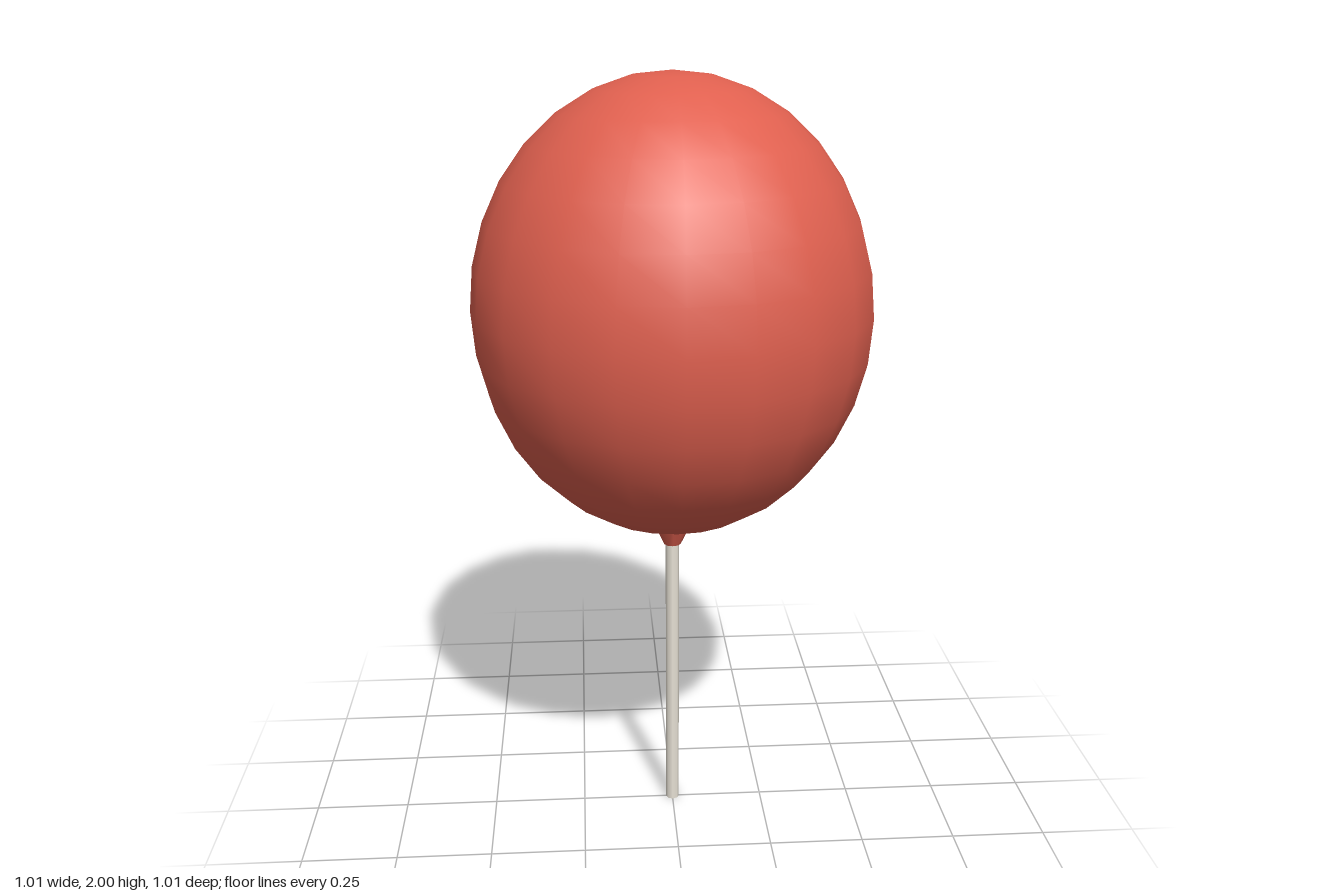
import * as THREE from 'three';

export function createModel() {
  const group = new THREE.Group();
  const red = new THREE.MeshStandardMaterial({ color: 0xe0604f });
  const cream = new THREE.MeshStandardMaterial({ color: 0xe8e2d6 });

  const add = (name, geometry, material, y) => {
    const mesh = new THREE.Mesh(geometry, material);
    mesh.name = name;
    mesh.position.y = y;
    group.add(mesh);
    return mesh;
  };

  // Balloon: a sphere stretched upwards
  add('balloon', new THREE.SphereGeometry(0.507, 20, 16).scale(1, 0.58 / 0.507, 1), red, 1.42);

  // Knot: short funnel narrowing down onto the stick
  add('knot', new THREE.CylinderGeometry(0.058, 0.023, 0.075, 10), red, 0.818);

  // Stick
  add('stick', new THREE.CylinderGeometry(0.018, 0.018, 0.8, 8), cream, 0.4);

  return group;
}
